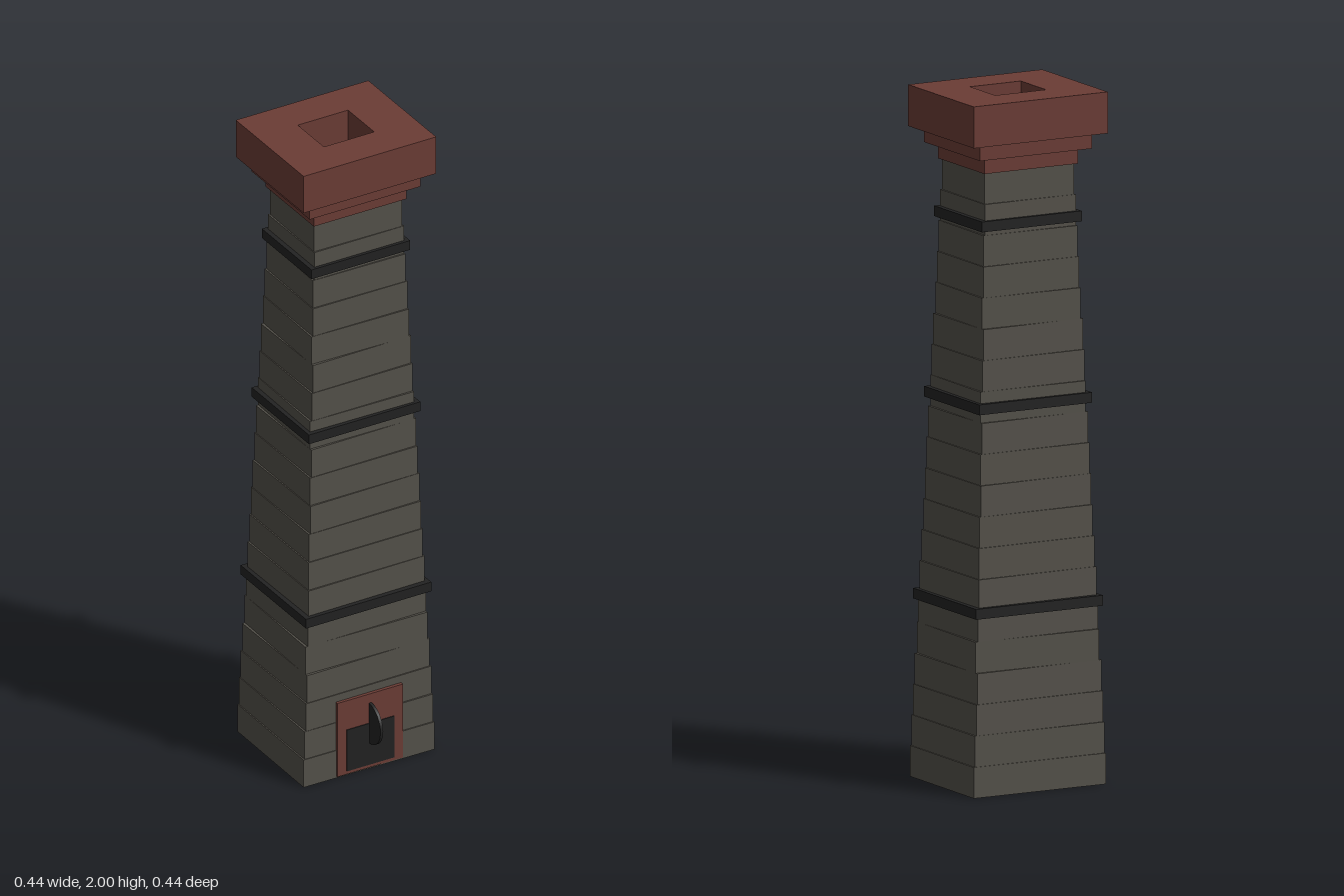
import * as THREE from 'three';

const mat = (name, color) => {
  const m = new THREE.MeshStandardMaterial({ color });
  m.name = name;
  return m;
};

export function createModel() {
  const stone = mat('grey stone', 0x54514a);
  const brick = mat('red brick', 0x6b3c35);
  const iron = mat('black iron', 0x222222);
  const group = new THREE.Group();
  group.name = 'chimney';
  const CZ = -0.031; // centre of the stack; the door handle sticks out in front

  const add = (name, geometry, material, x, y, z) => {
    const mesh = new THREE.Mesh(geometry, material);
    mesh.name = name;
    mesh.position.set(x, y, z);
    group.add(mesh);
    return mesh;
  };

  // Small seeded generator, -1 to 1
  let seed = 17;
  const jitter = () => {
    seed = (seed * 16807) % 2147483647;
    return (seed / 2147483647) * 2 - 1;
  };

  // Tapering stone courses, each slightly turned
  const courses = 20, h = 1.79 / courses;
  for (let i = 0; i < courses; i++) {
    const w = 2 * (0.215 - 0.0037 * i), d = 2 * (0.185 - 0.0032 * i);
    const course = add('stoneCourse' + (i + 1), new THREE.BoxGeometry(w, h, d), stone,
      0, (i + 0.5) * h, CZ);
    course.rotation.y = jitter() * (i < 3 ? 0.009 : 0.018);
  }

  // Iron bands
  [[0.53, 0.207, 0.180], [1.115, 0.184, 0.158], [1.638, 0.163, 0.137]].forEach(([y, x, z], i) =>
    add('ironBand' + (i + 1), new THREE.BoxGeometry(2 * x, 0.03, 2 * z), iron, 0, y, CZ));

  // Stepped brick crown with an open flue
  const rect = (path, x, z) => path.moveTo(-x, -z).lineTo(x, -z).lineTo(x, z).lineTo(-x, z).closePath();
  [[1.79, 1.835, 0.153, 0.133], [1.835, 1.88, 0.183, 0.160], [1.88, 2.0, 0.219, 0.187]]
    .forEach(([y0, y1, x, z], i) => {
      const shape = rect(new THREE.Shape(), x, z);
      shape.holes.push(rect(new THREE.Path(), 0.083, 0.072));
      const geometry = new THREE.ExtrudeGeometry(shape, { depth: y1 - y0, bevelEnabled: false });
      geometry.rotateX(-Math.PI / 2);
      add('crownStep' + (i + 1), geometry, brick, 0, y0, CZ);
    });
  add('flueFloor', new THREE.BoxGeometry(0.166, 0.006, 0.144), iron, 0, 1.794, CZ);

  // Firebox door: brick surround, iron plate and disc handle
  add('doorSurround', new THREE.BoxGeometry(0.216, 0.24, 0.04), brick, 0, 0.125, 0.1375);
  add('doorPlate', new THREE.BoxGeometry(0.156, 0.135, 0.008), iron, 0, 0.083, 0.156);
  const handle = add('doorHandle', new THREE.CylinderGeometry(0.065, 0.065, 0.009, 24), iron, 0, 0.151, 0.157);
  handle.rotation.z = Math.PI / 2;

  return group;
}
